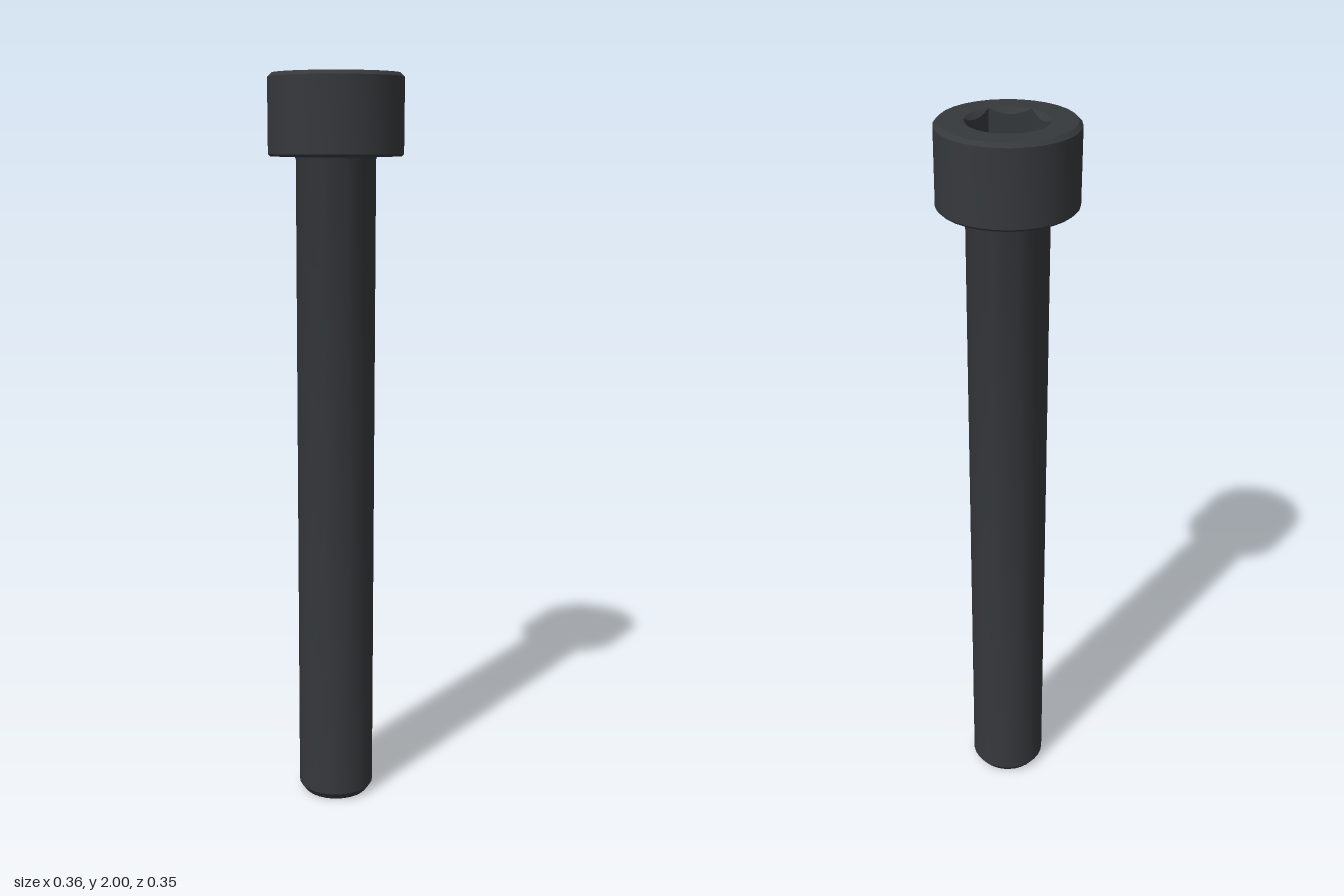
import * as THREE from 'three';
import { toCreasedNormals } from 'three/addons/utils/BufferGeometryUtils.js';

const SIDES = 30;
const SOCKET_R = 0.105; // hexagon corner radius
const TOP = 2;
const FLOOR = 1.89;

const steel = new THREE.MeshStandardMaterial({ color: 0x36393c });

// Turned shape with a vertex on +x, profile listed bottom to top
function turned(profile) {
  const points = profile.map(([r, y]) => new THREE.Vector2(r, y));
  return new THREE.LatheGeometry(points, SIDES, Math.PI / 2);
}

function part(name, geometry) {
  const mesh = new THREE.Mesh(toCreasedNormals(geometry, 0.5), steel);
  mesh.name = name;
  return mesh;
}

// Hexagonal recess with a conical lead-in cut into its flats
function socketGeometry() {
  const lip = 1.99;
  const geometry = turned([[SOCKET_R, TOP], [SOCKET_R, lip], [SOCKET_R, FLOOR], [0, FLOOR]]);
  const pos = geometry.attributes.position;
  const sector = Math.PI / 3;
  for (let i = 0; i < pos.count; i++) {
    const x = pos.getX(i), y = pos.getY(i), z = pos.getZ(i);
    if (y > TOP - 0.001 || Math.hypot(x, z) < 0.001) continue;
    // squeeze the circle onto the hexagon
    const angle = Math.atan2(z, x) + 2 * Math.PI;
    const fromFlat = angle - (Math.floor(angle / sector + 1e-6) + 0.5) * sector;
    const scale = Math.cos(sector / 2) / Math.cos(fromFlat);
    const isLip = Math.abs(y - lip) < 0.001;
    pos.setXYZ(i, x * scale, isLip ? TOP - SOCKET_R * (1 - scale) : y, z * scale);
  }
  return geometry;
}

export function createModel() {
  const bolt = new THREE.Group();
  bolt.name = 'socketHeadBolt';

  // Shank with chamfered tip and small fillet under the head
  bolt.add(part('shank', turned([
    [0, 0], [0.091, 0], [0.105, 0.02], [0.105, 1.782], [0.107, 1.788], [0.113, 1.792],
  ])));

  // Cylindrical head with bevelled edges
  bolt.add(part('head', turned([
    [0.105, 1.79], [0.172, 1.79], [0.178, 1.796], [0.178, 1.99], [0.168, TOP], [SOCKET_R, TOP],
  ])));

  bolt.add(part('hexSocket', socketGeometry()));
  return bolt;
}
